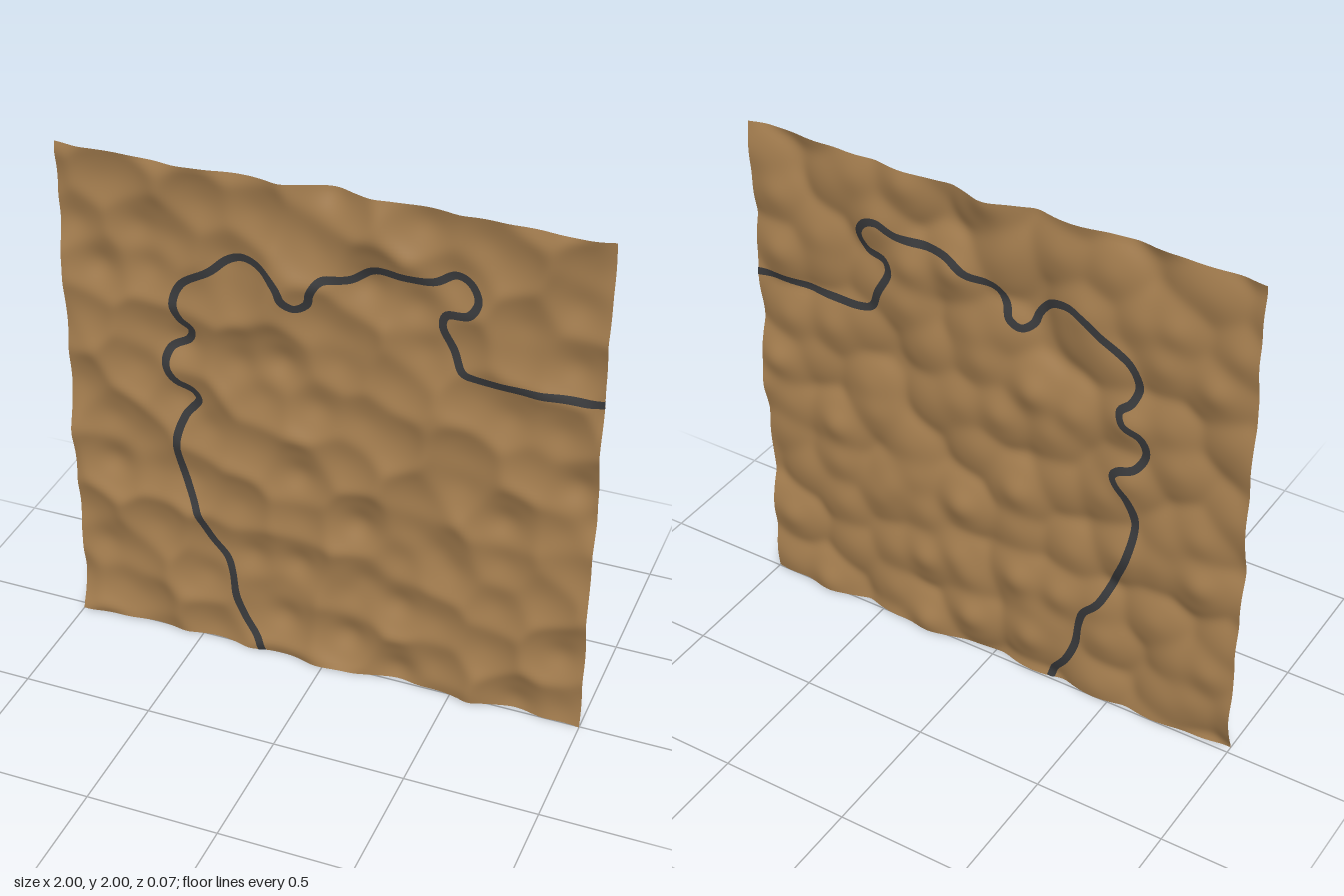
import * as THREE from 'three';

// Seeded value in 0..1 for a lattice cell
function hash(i, j, k) {
  const s = Math.sin(i * 127.1 + j * 311.7 + k * 74.7) * 43758.5453;
  return s - Math.floor(s);
}

// Rounded domes of varied height on a jittered lattice, joined by soft creases
const SPACING = 0.2;
const SHARP = 8;
function domes(x, y) {
  const u = x / SPACING, v = y / SPACING;
  const ci = Math.floor(u), cj = Math.floor(v);
  let sum = 0;
  for (let i = ci - 2; i <= ci + 2; i++) {
    for (let j = cj - 2; j <= cj + 2; j++) {
      const dx = u - i - 0.1 - 0.8 * hash(i, j, 1);
      const dy = v - j - 0.1 - 0.8 * hash(i, j, 2);
      sum += Math.exp(-SHARP * (dx * dx + dy * dy + 0.22 * hash(i, j, 3)));
    }
  }
  return -Math.log(sum) / SHARP;
}

// Relief range, so that the sheet keeps its exact depth
let low = Infinity, high = -Infinity;
for (let i = 0; i <= 60; i++) {
  for (let j = 0; j <= 60; j++) {
    const h = domes(-1 + i / 30, j / 30);
    low = Math.min(low, h);
    high = Math.max(high, h);
  }
}
// Domes swell toward the back, creases rise toward the front, slopes ease in between
function relief(x, y) {
  const t = THREE.MathUtils.clamp((domes(x, y) - low) / (high - low), 0, 1);
  const s = 1 - 2 * Math.pow(1 - t, 2.1);
  return 0.034 * (0.65 * s + 0.35 * s * s * s);
}

// Centre line of the road, from the bottom edge to the side edge
const ROAD = [
  [-0.25, 0], [-0.265, 0.05], [-0.32, 0.13], [-0.355, 0.22], [-0.37, 0.33], [-0.39, 0.39],
  [-0.45, 0.46], [-0.51, 0.6], [-0.56, 0.73], [-0.575, 0.87], [-0.545, 0.98], [-0.49, 1.06],
  [-0.51, 1.09], [-0.575, 1.12], [-0.61, 1.19], [-0.59, 1.26], [-0.525, 1.3], [-0.51, 1.345],
  [-0.55, 1.385], [-0.57, 1.455], [-0.54, 1.53], [-0.43, 1.6], [-0.365, 1.655], [-0.3, 1.68],
  [-0.225, 1.66], [-0.17, 1.6], [-0.15, 1.55], [-0.11, 1.525], [-0.065, 1.55], [-0.05, 1.6],
  [-0.01, 1.655], [0.095, 1.675], [0.18, 1.725], [0.39, 1.73], [0.465, 1.765], [0.52, 1.745],
  [0.55, 1.69], [0.52, 1.635], [0.44, 1.615], [0.425, 1.575], [0.47, 1.48], [0.505, 1.405],
  [0.55, 1.39], [1, 1.39],
];

// Ribbon that follows the relief, set off a little from the sheet
function ribbon(curve, halfWidth, offset) {
  const steps = 420, across = 2;
  const positions = [], index = [];
  for (let i = 0; i <= steps; i++) {
    const p = curve.getPointAt(i / steps);
    const t = curve.getTangentAt(i / steps);
    for (let k = 0; k <= across; k++) {
      const w = halfWidth * (2 * k / across - 1);
      const x = THREE.MathUtils.clamp(p.x - t.y * w, -1, 1);
      const y = THREE.MathUtils.clamp(p.y + t.x * w, 0, 2);
      positions.push(x, y, relief(x, y) + offset);
      if (i < steps && k < across) {
        const a = i * (across + 1) + k, b = a + across + 1;
        if (offset > 0) index.push(a, b, a + 1, b, b + 1, a + 1);
        else index.push(a, a + 1, b, b, a + 1, b + 1);
      }
    }
  }
  const geometry = new THREE.BufferGeometry();
  geometry.setAttribute('position', new THREE.Float32BufferAttribute(positions, 3));
  geometry.setIndex(index);
  geometry.computeVertexNormals();
  return geometry;
}

export function createModel() {
  const group = new THREE.Group();
  group.name = 'terrainPanel';

  // Thin upright sheet of rolling ground
  const ground = new THREE.PlaneGeometry(2, 2, 140, 140);
  ground.translate(0, 1, 0);
  const pos = ground.attributes.position;
  for (let i = 0; i < pos.count; i++) pos.setZ(i, relief(pos.getX(i), pos.getY(i)));
  ground.computeVertexNormals();
  const terrain = new THREE.Mesh(ground, new THREE.MeshStandardMaterial({ color: 0xa57e4f, side: THREE.DoubleSide }));
  terrain.name = 'terrain';
  group.add(terrain);

  // Winding road, seen on both faces of the sheet
  const curve = new THREE.CatmullRomCurve3(ROAD.map(([x, y]) => new THREE.Vector3(x, y, 0)));
  curve.arcLengthDivisions = 1000;
  const asphalt = new THREE.MeshStandardMaterial({ color: 0x38393b, side: THREE.DoubleSide });
  for (const [name, offset] of [['roadFront', 0.002], ['roadBack', -0.002]]) {
    const road = new THREE.Mesh(ribbon(curve, 0.015, offset), asphalt);
    road.name = name;
    group.add(road);
  }
  return group;
}
